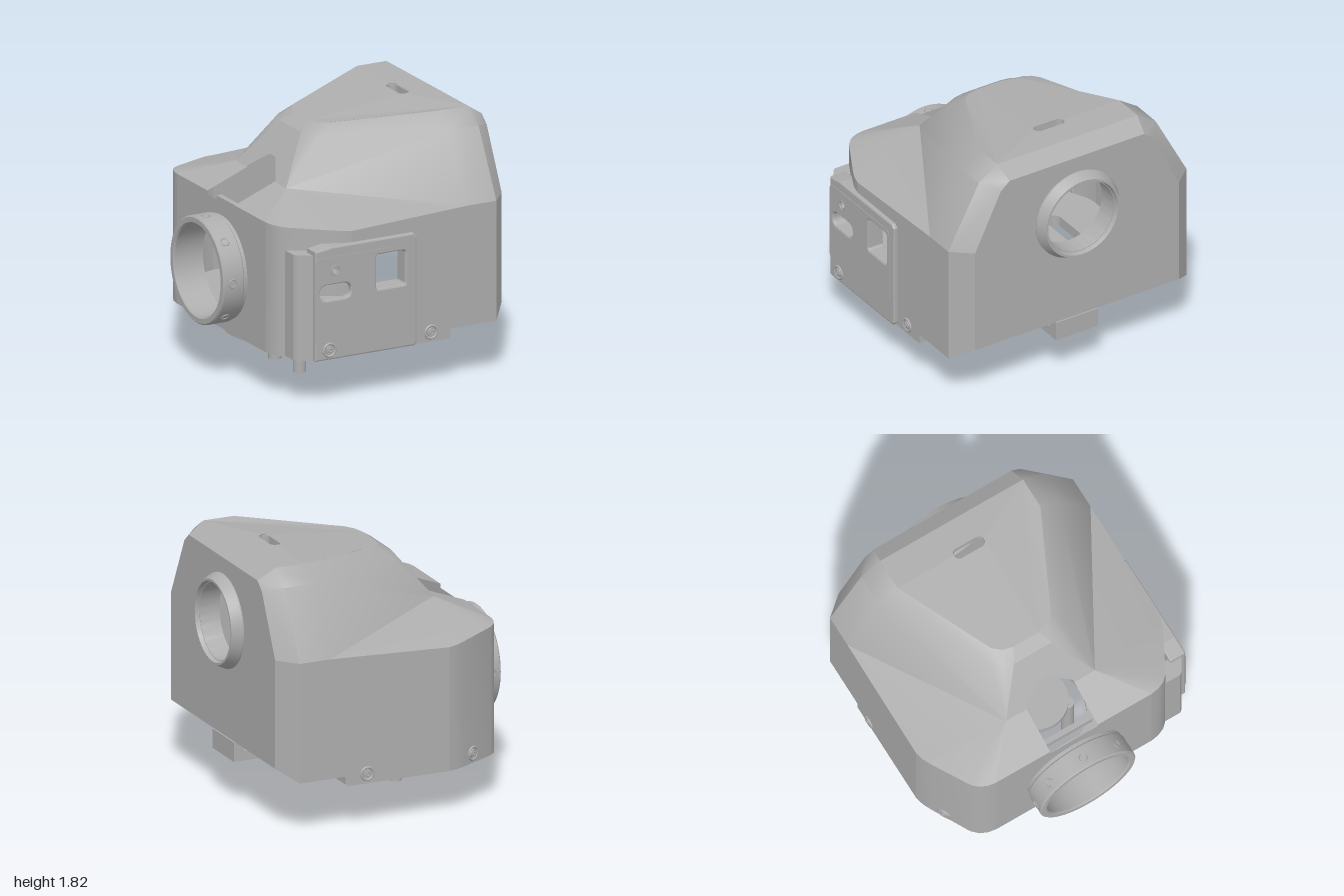
import * as THREE from 'three';
import { toCreasedNormals } from 'three/addons/utils/BufferGeometryUtils.js';

const grey = new THREE.MeshStandardMaterial({ color: 0xaeaeae, side: THREE.DoubleSide });
grey.name = 'plain grey';
const ZC = -0.02; // symmetry plane of the shell

function add(parent, name, geometry, x = 0, y = 0, z = 0) {
  const mesh = new THREE.Mesh(geometry, grey);
  mesh.name = name;
  mesh.position.set(x, y, z);
  parent.add(mesh);
  return mesh;
}

const poly = (pts) => new THREE.Shape(pts.map((p) => new THREE.Vector2(p[0], p[1])));
const circle = (x, y, r) => new THREE.Path().absarc(x, y, r, 0, Math.PI * 2, true);
const mirrored = (pts) => [...pts, ...pts.slice().reverse().map(([u, v]) => [-u, v])];

// Rounded rectangle, or a slot when r is half the height
function rounded(Type, x0, y0, x1, y1, r) {
  const p = new Type();
  p.absarc(x1 - r, y0 + r, r, -Math.PI / 2, 0);
  p.absarc(x1 - r, y1 - r, r, 0, Math.PI / 2);
  p.absarc(x0 + r, y1 - r, r, Math.PI / 2, Math.PI);
  p.absarc(x0 + r, y0 + r, r, Math.PI, Math.PI * 1.5);
  p.closePath();
  return p;
}

// Flat face with holes, each corner placed by a rule
function face(shape, holes, rule) {
  shape.holes.push(...holes);
  const g = new THREE.ShapeGeometry(shape, 24);
  const p = g.attributes.position;
  for (let i = 0; i < p.count; i++) p.setXYZ(i, ...rule(p.getX(i), p.getY(i)));
  const flat = g.toNonIndexed();
  flat.computeVertexNormals();
  return flat;
}

// Skin between rows of 3D points, kept sharp above the crease angle
function skin(rows, crease) {
  const n = rows[0].length, index = [];
  for (let r = 0; r < rows.length - 1; r++) {
    for (let i = 0; i < n - 1; i++) {
      const a = r * n + i;
      index.push(a, a + 1, a + n + 1, a, a + n + 1, a + n);
    }
  }
  const g = new THREE.BufferGeometry();
  g.setAttribute('position', new THREE.Float32BufferAttribute(rows.flat(2), 3));
  g.setIndex(index);
  return toCreasedNormals(g, crease);
}

// Horizontal slab from a plan drawn in x and z
function slab(shape, holes, y, h) {
  shape.holes.push(...holes);
  const g = new THREE.ExtrudeGeometry(shape, { depth: h, bevelEnabled: false, curveSegments: 32 });
  return g.rotateX(Math.PI / 2).translate(0, y + h, 0);
}

// Turned collar lying along x
function collar(profile, direction) {
  const g = new THREE.LatheGeometry(profile.map((p) => new THREE.Vector2(...p)), 56);
  return toCreasedNormals(g.rotateZ(-direction * Math.PI / 2), 0.4);
}

function screw(parent, x, y, z, turn) {
  const s = new THREE.Group();
  s.name = 'screw';
  add(s, 'screwRim', new THREE.TorusGeometry(0.045, 0.009, 8, 24));
  add(s, 'screwHead', new THREE.CylinderGeometry(0.03, 0.03, 0.02, 20).rotateX(Math.PI / 2));
  add(s, 'screwSocket', new THREE.TorusGeometry(0.014, 0.005, 6, 6), 0, 0, 0.01);
  s.position.set(x, y, z);
  s.rotation.y = turn;
  parent.add(s);
}

export function createModel() {
  const model = new THREE.Group();
  model.name = 'housing';
  const shell = new THREE.Group();
  shell.name = 'shell';
  shell.position.z = ZC;
  model.add(shell);

  // Rounded left corner in plan (x, z)
  const corner = [[-0.81, 0.62], [-0.8, 0.68], [-0.775, 0.735], [-0.73, 0.78],
    [-0.46, 0.925], [-0.395, 0.955], [-0.33, 0.97]];
  const wallTop = (x) => 1.25 - 0.04 * (x + 0.81) / 0.48;

  for (const s of [1, -1]) {
    // Corner and side walls
    add(shell, 'cornerWall', skin([
      corner.map(([x, z]) => [x, 0.32, s * z]),
      corner.map(([x, z]) => [x, wallTop(x), s * z])], 0.5));
    const side = poly([[-0.33, 0.32], [0.44, 0.32], [0.44, 0.39], [0.8, 0.39], [0.8, 1.25], [0.57, 1.25], [-0.33, 1.21]]);
    const window = s > 0 ? [rounded(THREE.Path, -0.165, 0.76, 0.085, 1.03, 0.03)] : [];
    add(shell, 'sideWall', face(side, window, (x, y) => [x, y, s * 0.97]));
    add(shell, 'rightChamfer', skin([
      [[0.8, 0.39, s * 0.97], [0.92, 0.47, s * 0.83]],
      [[0.8, 1.25, s * 0.97], [0.92, 1.25, s * 0.83]]], 0.3));

    // Low roof beside the hood
    const edge = [...corner, [0.57, 0.97]].map(([x, z], i) => [x, i < 7 ? wallTop(x) : 1.25, s * z]);
    add(shell, 'lowRoof', skin([edge, edge.map(() => [-0.5, 1.37, s * 0.355])], 0.3));
    add(shell, 'leftRoof', skin([
      [[-0.81, 1.25, s * 0.19], [-0.81, 1.25, s * 0.62]],
      [[-0.5, 1.37, s * 0.19], [-0.5, 1.37, s * 0.355]]], 0.3));

    // Hood side: base, shoulder and top rings from left to right
    const rings = [
      [[-0.5, 1.37, 0.355], [-0.5, 1.37, 0.355], [-0.5, 1.37, 0.355], [0.57, 1.25, 0.97], [0.8, 1.25, 0.97], [0.92, 1.25, 0.83]],
      [[-0.27, 1.68, 0.15], [-0.255, 1.68, 0.23], [-0.2, 1.68, 0.29], [0.57, 1.72, 0.72], [0.8, 1.72, 0.72], [0.92, 1.68, 0.62]],
      [[-0.18, 1.74, 0.1], [-0.16, 1.742, 0.18], [-0.11, 1.747, 0.24], [0.57, 1.82, 0.57], [0.8, 1.82, 0.57], [0.92, 1.74, 0.55]],
    ];
    add(shell, 'hoodSide', skin(rings.map((r) => r.map(([x, y, z]) => [x, y, s * z])), 0.7));
  }

  // Hood slope with its cut-out, bevel and top with a slot
  const slope = poly(mirrored([[0.355, 0], [0.15, 1]]).concat([[-0.19, 0], [-0.19, 0.05], [-0.04, 0.4], [0.04, 0.4], [0.19, 0.05], [0.19, 0]]));
  add(shell, 'hoodSlope', face(slope, [], (z, t) => [-0.5 + 0.23 * t, 1.37 + 0.31 * t, z]));
  add(shell, 'hoodBevel', skin([
    [[-0.27, 1.68, 0.15], [-0.27, 1.68, -0.15]], [[-0.18, 1.74, 0.1], [-0.18, 1.74, -0.1]]], 0.5));
  const top = poly(mirrored([[0.1, -0.18], [0.18, -0.16], [0.24, -0.11], [0.57, 0.57], [0.57, 0.8]]));
  add(shell, 'hoodTop', face(top, [rounded(THREE.Path, -0.12, 0.53, 0.12, 0.61, 0.039)],
    (z, x) => [x, Math.min(1.82, 1.74 + 0.08 * (x + 0.18) / 0.75), z]));
  add(shell, 'topChamfer', skin([
    [[0.8, 1.82, 0.57], [0.8, 1.82, -0.57]], [[0.92, 1.74, 0.55], [0.92, 1.74, -0.55]]], 0.3));
  const slotWall = new THREE.ExtrudeGeometry(rounded(THREE.Shape, 0.53, -0.12, 0.61, 0.12, 0.039), { depth: 0.05, bevelEnabled: false });
  slotWall.clearGroups();
  const slotRim = rounded(THREE.Shape, 0.522, -0.128, 0.618, 0.128, 0.047);
  slotWall.dispose();
  add(shell, 'slotLining', slab(slotRim, [rounded(THREE.Path, 0.53, -0.12, 0.61, 0.12, 0.039)], 1.76, 0.053));

  // End walls with round openings
  const rightWall = poly(mirrored([[0.83, 0.47], [0.83, 1.25], [0.62, 1.68], [0.55, 1.74]]));
  add(shell, 'rightWall', face(rightWall, [circle(0, 1.29, 0.28)], (z, y) => [0.92, y, z]));
  const leftWall = poly(mirrored([[0.62, 0.32], [0.62, 1.25], [0.19, 1.25], [0.19, 1.22]]));
  add(shell, 'leftWall', face(leftWall, [circle(0, 0.76, 0.325)], (z, y) => [-0.81, y, z]));
  add(shell, 'crossbar', new THREE.BoxGeometry(0.04, 0.05, 0.38), -0.72, 1.18, 0);

  // Right port and left collar
  add(shell, 'port', collar([[0.28, -0.1], [0.335, 0], [0.335, 0.01], [0.3, 0.08], [0.285, 0.08], [0.275, 0.05], [0.27, 0.05], [0.27, -0.1]], 1), 0.92, 1.29, 0);
  add(shell, 'leftCollar', collar([[0.325, -0.04], [0.37, -0.04], [0.37, 0.025], [0.38, 0.035], [0.38, 0.18], [0.37, 0.19], [0.335, 0.19], [0.325, 0.18], [0.325, -0.04]], -1), -0.81, 0.76, 0);
  for (let i = 0; i < 8; i++) {
    const a = i * Math.PI / 4;
    const rim = add(shell, 'collarHole', new THREE.TorusGeometry(0.028, 0.005, 6, 20), -0.93, 0.76 + 0.38 * Math.sin(a), 0.38 * Math.cos(a));
    rim.rotation.x = -a;
  }

  // Door panel on the front, with its folded left edge
  const window = () => rounded(THREE.Path, -0.165, 0.76, 0.085, 1.03, 0.03);
  const slot = () => rounded(THREE.Path, -0.605, 0.74, -0.34, 0.87, 0.06);
  const door = poly([[-0.62, 0.335], [-0.62, 1.1], [-0.5, 1.118], [0.135, 1.118], [0.153, 1.1], [0.153, 0.35], [0.14, 0.335]]);
  door.holes.push(window(), slot(), circle(-0.475, 0.96, 0.02));
  add(model, 'doorPanel', new THREE.ExtrudeGeometry(door, { depth: 0.1, bevelSize: 0.012, bevelThickness: 0.012, bevelSegments: 2 }), 0, 0, 0.868);
  const fold = poly([[-0.74, 0.72], [-0.74, 0.87], [-0.725, 0.89], [-0.6, 0.965], [-0.6, 0.8]]);
  add(model, 'doorFold', slab(fold, [], 0.325, 0.755));
  const inset = rounded(THREE.Shape, -0.63, 0.46, 0.11, 1.06, 0.04);
  inset.holes.push(window(), slot(), circle(-0.475, 0.96, 0.03));
  add(model, 'doorInset', new THREE.ExtrudeGeometry(inset, { depth: 0.004, bevelEnabled: false }), 0, 0, 0.979);
  add(model, 'doorButton', new THREE.TorusGeometry(0.035, 0.004, 6, 24), -0.475, 0.96, 0.983);

  // Screws near the foot of the walls
  screw(model, -0.52, 0.395, 0.982, 0);
  screw(model, 0.29, 0.39, 0.952, 0);
  screw(model, 0.29, 0.39, -0.992, Math.PI);
  screw(model, -0.55, 0.39, -0.9, Math.PI + 0.49);

  // Base plate with a centre beam to the right
  const cx = -0.23, cz = 0.045;
  const plan = [[0.44, 0.95], ...corner.slice().reverse().map(([x, z]) => [x, z - 0.02])]
    .concat(corner.map(([x, z]) => [x, -z]), [[0.44, -0.96]]);
  const pocketHole = () => rounded(THREE.Path, -0.33, -0.67, 0.05, -0.55, 0.055);
  add(model, 'basePlate', slab(poly(plan), [circle(cx, cz, 0.35), pocketHole()], 0.321, 0.075));
  add(model, 'baseBeam', new THREE.BoxGeometry(0.48, 0.07, 0.34), 0.68, 0.357, -0.02);
  add(model, 'beamEnd', new THREE.BoxGeometry(0.08, 0.07, 0.34), 0.88, 0.427, -0.02);
  for (const z of [0.45, -0.48]) {
    add(model, 'baseBoss', new THREE.CylinderGeometry(0.065, 0.065, 0.07, 24), 0.33, 0.432, z);
    const rim = add(model, 'baseScrewRim', new THREE.TorusGeometry(0.06, 0.012, 8, 28), 0.33, 0.32, z);
    rim.rotation.x = Math.PI / 2;
  }

  // Round flange with a circle of bolt holes, and the pocket beside it
  const flange = new THREE.Shape().absarc(cx, cz, 0.53, 0, Math.PI * 2, false);
  const bolts = Array.from({ length: 10 }, (_, i) => {
    const a = (i + 0.5) * Math.PI / 5;
    return circle(cx + 0.44 * Math.cos(a), cz + 0.44 * Math.sin(a), 0.025);
  });
  add(model, 'flange', slab(flange, [circle(cx, cz, 0.33), ...bolts], 0.272, 0.05));
  const pocket = rounded(THREE.Shape, -0.52, -0.82, 0.22, -0.39, 0.2);
  add(model, 'pocketRim', slab(pocket, [rounded(THREE.Path, -0.46, -0.76, 0.16, -0.45, 0.15)], 0.275, 0.046));

  // Three pegs round a hub, held by an inner carrier
  for (let i = 0; i < 3; i++) {
    const a = i * Math.PI * 2 / 3;
    add(model, 'peg', new THREE.CylinderGeometry(0.045, 0.045, 0.5, 24), cx + 0.2 * Math.cos(a), 0.25, cz + 0.2 * Math.sin(a));
  }
  add(model, 'hub', new THREE.CylinderGeometry(0.115, 0.115, 0.09, 32), -0.21, 0.205, cz);
  add(model, 'hubShaft', new THREE.CylinderGeometry(0.04, 0.04, 0.28, 20), -0.21, 0.36, cz);
  add(model, 'carrier', new THREE.CylinderGeometry(0.22, 0.22, 0.05, 32), -0.21, 0.5, cz);
  return model;
}
